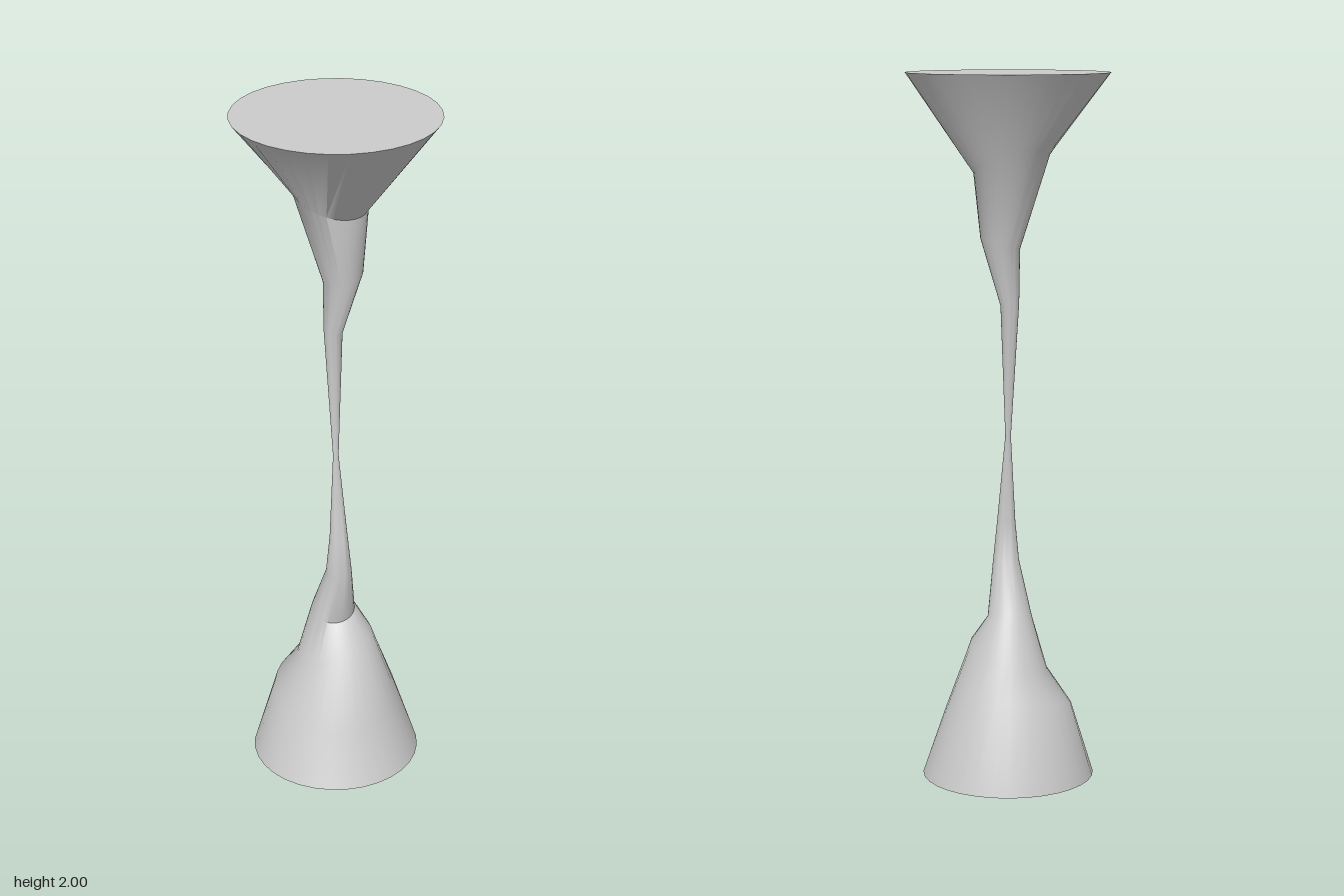
import * as THREE from 'three';
import { toCreasedNormals } from 'three/addons/utils/BufferGeometryUtils.js';

const SIDES = 32;

// Rings from foot to rim: centre x, y, z, radius x, radius z, slope along x, slope along z
const RINGS = [
  [0, 0, 0, 0.245, 0.245, 0, 0],
  [0, 0.2, -0.002, 0.18, 0.178, 0, -0.25],
  [0, 0.352, -0.016, 0.109, 0.116, 0.37, 0.15],
  [0, 0.468, -0.024, 0.063, 0.061, 0.08, -0.33],
  [0, 0.62, 0.028, 0.037, 0.038, 0, -0.07],
  [0, 0.735, 0.025, 0.026, 0.023, 0, 0],
  [0, 0.985, 0, 0.008, 0.006, 0, 0],
  [0, 1.36, -0.023, 0.026, 0.026, -0.1, 0],
  [0.025, 1.53, -0.013, 0.055, 0.057, 0.27, 0],
  [0, 1.754, -0.049, 0.106, 0.099, -0.19, -0.33],
  [0, 2, 0, 0.284, 0.284, 0, 0],
];

// Skin of quads through the tilted rings
function loftGeometry(rings) {
  const positions = [];
  const index = [];
  for (const [cx, cy, cz, rx, rz, sx, sz] of rings) {
    for (let j = 0; j < SIDES; j++) {
      const a = (j / SIDES) * Math.PI * 2;
      const dx = rx * Math.sin(a);
      const dz = rz * Math.cos(a);
      positions.push(cx + dx, cy + sx * dx + sz * dz, cz + dz);
    }
  }
  for (let i = 0; i < rings.length - 1; i++) {
    for (let j = 0; j < SIDES; j++) {
      const k = (j + 1) % SIDES;
      const a = i * SIDES + j, b = i * SIDES + k;
      index.push(a, b, b + SIDES, a, b + SIDES, a + SIDES);
    }
  }
  const geometry = new THREE.BufferGeometry();
  geometry.setAttribute('position', new THREE.Float32BufferAttribute(positions, 3));
  geometry.setIndex(index);
  return toCreasedNormals(geometry, 0.6);
}

export function createModel() {
  const group = new THREE.Group();
  const grey = new THREE.MeshStandardMaterial({ color: 0xcccccc });
  grey.name = 'light grey';

  const add = (name, geometry) => {
    const mesh = new THREE.Mesh(geometry, grey);
    mesh.name = name;
    group.add(mesh);
    return mesh;
  };

  // Twisting column, pinched at its middle
  add('column', loftGeometry(RINGS));

  // Flat discs closing both ends
  const top = add('topFace', new THREE.CircleGeometry(0.284, SIDES));
  top.rotation.x = -Math.PI / 2;
  top.position.y = 2;
  const foot = add('footFace', new THREE.CircleGeometry(0.245, SIDES));
  foot.rotation.x = Math.PI / 2;

  return group;
}
